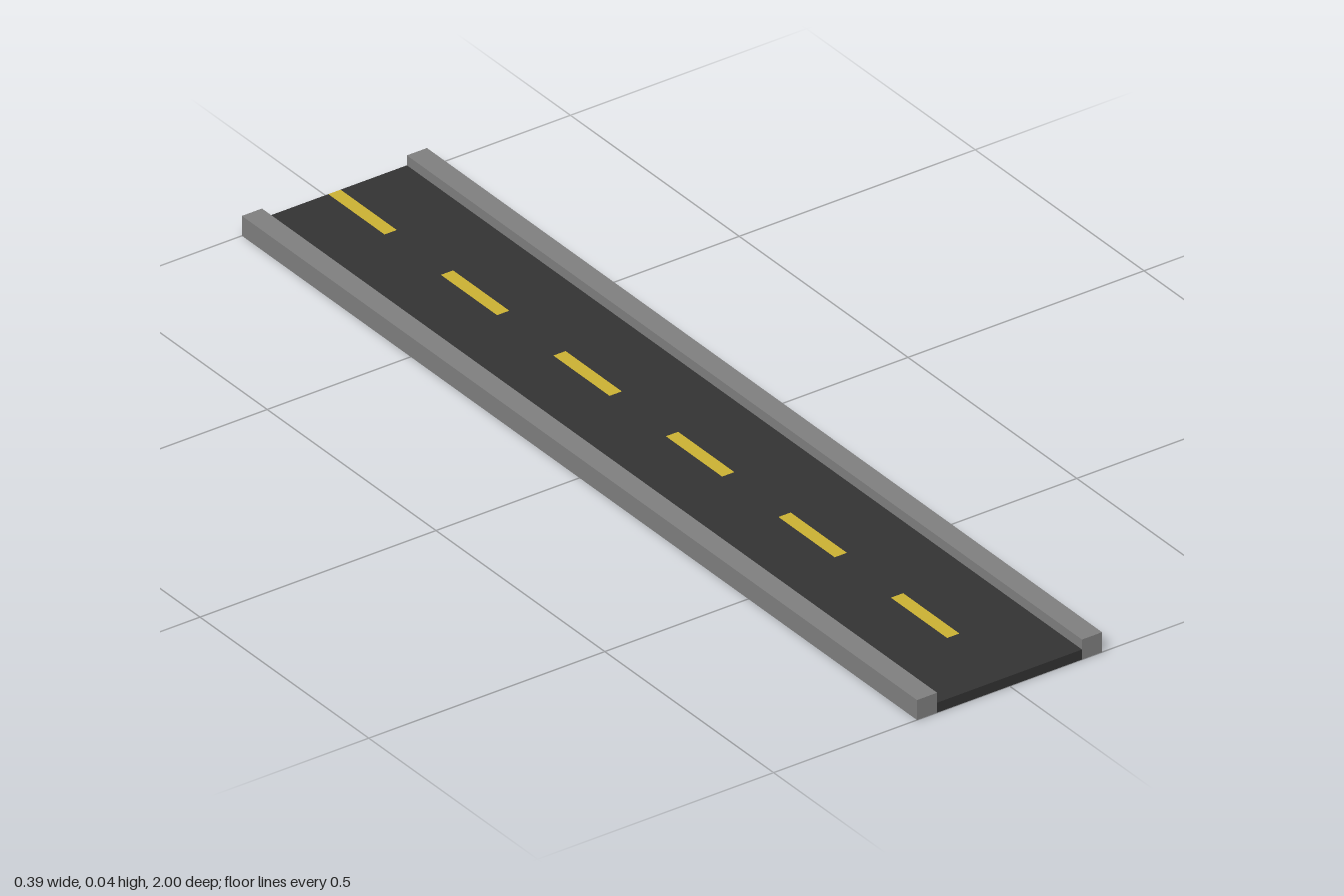
import * as THREE from 'three';

const LENGTH = 2, HALF_WIDTH = 0.196, ROAD_HALF = 0.1535;
const CURB_HEIGHT = 0.04, ROAD_HEIGHT = 0.02, DASH_HALF = 0.013;
const SEGMENTS = 12;

const material = (color) =>
  new THREE.MeshStandardMaterial({ color, flatShading: true, side: THREE.DoubleSide });

// Box standing on y = 0 that keeps only the listed faces (0..5 = +x -x +y -y +z -z)
function shellBox(width, height, length, faces) {
  const geometry = new THREE.BoxGeometry(width, height, length).translate(0, height / 2, 0);
  const index = Array.from(geometry.index.array);
  geometry.setIndex(faces.flatMap((f) => index.slice(f * 6, f * 6 + 6)));
  geometry.clearGroups();
  return geometry;
}

export function createModel() {
  const model = new THREE.Group();
  const asphalt = material(0x333333);
  const concrete = material(0x808080);
  const paint = material(0xccb233);

  const add = (name, geometry, mat, x = 0, y = 0, z = 0) => {
    const mesh = new THREE.Mesh(geometry, mat);
    mesh.name = name;
    mesh.position.set(x, y, z);
    model.add(mesh);
  };
  const flat = (width, length) => new THREE.PlaneGeometry(width, length).rotateX(-Math.PI / 2);

  // Road underside and front edge; the back end is open
  add('roadBed', shellBox(ROAD_HALF * 2, ROAD_HEIGHT, LENGTH, [3, 4]), asphalt);

  // Curbs and lanes on both sides, curbs open at the back
  const curbWidth = HALF_WIDTH - ROAD_HALF;
  const laneWidth = ROAD_HALF - DASH_HALF;
  for (const [side, s] of [['left', 1], ['right', -1]]) {
    add(side + 'Curb', shellBox(curbWidth, CURB_HEIGHT, LENGTH, [0, 1, 2, 3, 4]), concrete,
      s * (ROAD_HALF + curbWidth / 2));
    add(side + 'Lane', flat(laneWidth, LENGTH), asphalt, s * (DASH_HALF + laneWidth / 2), ROAD_HEIGHT);
  }

  // Centre line: painted dashes alternating with bare road, starting at the back
  const step = LENGTH / SEGMENTS;
  for (let i = 0; i < SEGMENTS; i++) {
    const painted = i % 2 === 0;
    add(painted ? 'centreDash' : 'centreGap', flat(DASH_HALF * 2, step), painted ? paint : asphalt,
      0, ROAD_HEIGHT, -LENGTH / 2 + (i + 0.5) * step);
  }
  return model;
}
